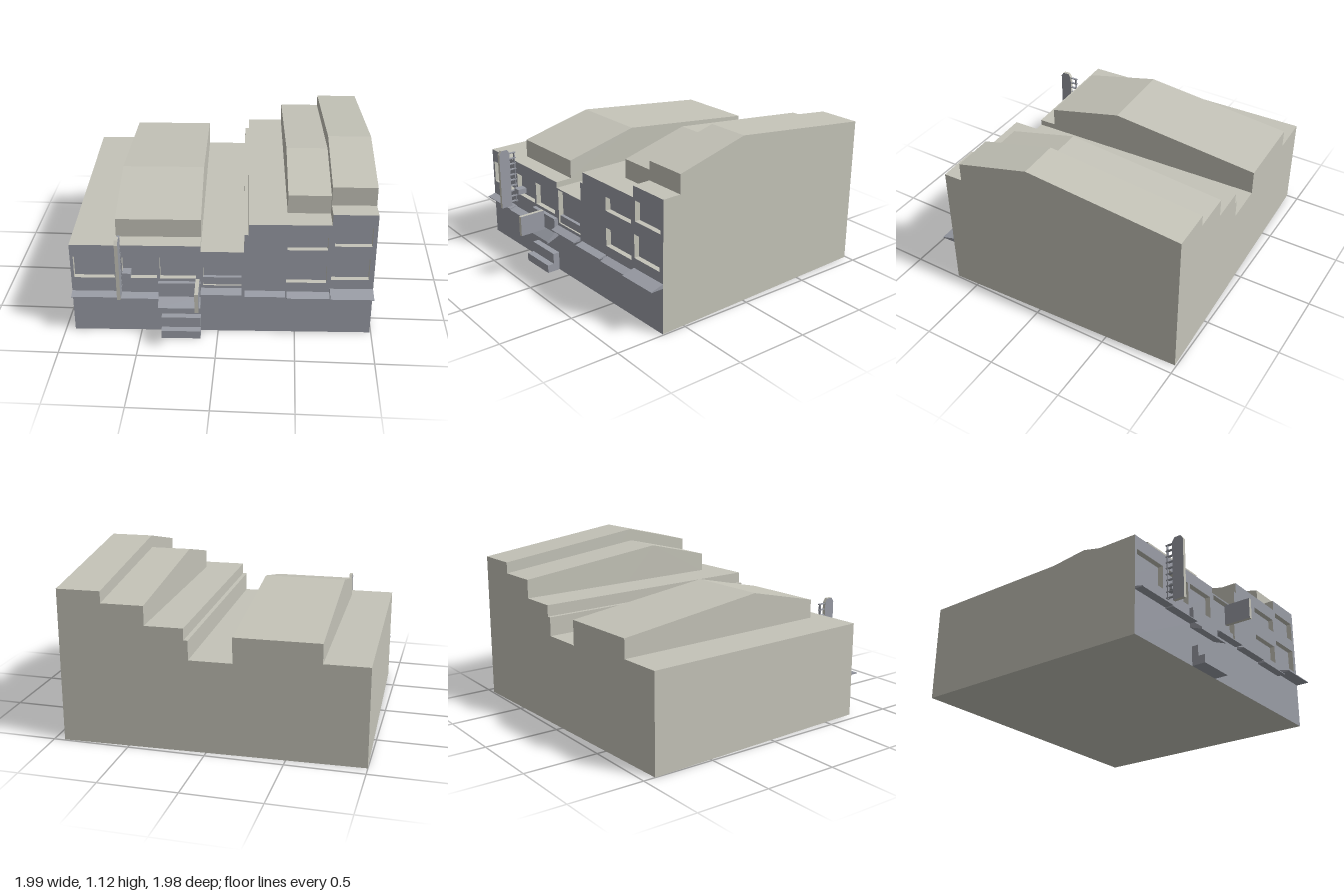
import * as THREE from 'three';

export function createModel() {
  const model = new THREE.Group();
  model.name = 'terraceBuilding';
  const block = new THREE.Group(); // the block stands slightly turned
  block.name = 'block';
  block.rotation.y = 0.0363;
  block.position.set(-0.004, 0, -0.1275);
  model.add(block);

  const stone = new THREE.MeshStandardMaterial({ color: 0xc4c3b8 });
  stone.name = 'warm stone';
  const paint = new THREE.MeshStandardMaterial({ color: 0x999ca5 });
  paint.name = 'blue grey paint';

  const HW = 0.966, HD = 0.828, RECESS = 0.04, BACK = HD - RECESS;
  const OFF = 0.026; // facade coordinates to block coordinates

  function add(name, geometry, material) {
    const mesh = new THREE.Mesh(geometry, material);
    mesh.name = name;
    block.add(mesh);
    return mesh;
  }
  function box(name, x0, x1, y0, y1, z0, z1, material) {
    const g = new THREE.BoxGeometry(x1 - x0, y1 - y0, z1 - z0);
    g.translate((x0 + x1) / 2, (y0 + y1) / 2, (z0 + z1) / 2);
    return add(name, g, material);
  }
  // Side profile of [z, y] points, run from x0 to x1
  function prism(name, x0, x1, points, material) {
    const shape = new THREE.Shape(points.map(([z, y]) => new THREE.Vector2(z, y)));
    const g = new THREE.ExtrudeGeometry(shape, { depth: x1 - x0, bevelEnabled: false });
    g.rotateY(-Math.PI / 2);
    g.translate(x1, 0, 0);
    return add(name, g, material);
  }

  // Body in slices; roof = [front z, ridge z, eaves height, ridge height]
  const slices = [
    [-HW, -0.681, 0.64],
    [-0.681, -0.136, 0.64, [0.713, 0.195, 0.765, 0.885]],
    [-0.136, 0.139, 0.6],
    [0.139, 0.166, 0.725],
    [0.166, 0.412, 0.8],
    [0.412, 0.684, 0.8, [0.672, 0.212, 0.925, 1.04]],
    [0.684, HW, 0.875, [0.702, 0.205, 1.0, 1.125]],
  ];
  for (const [x0, x1, h, roof] of slices) {
    const pts = [[-HD, 0], [BACK, 0], [BACK, h]];
    if (roof) {
      const [zf, zr, eaves, ridge] = roof;
      pts.push([zf, h], [zf, eaves], [zr, ridge], [-HD, eaves]);
    } else pts.push([-HD, h]);
    prism(roof ? 'mansardSlice' : 'flatSlice', x0, x1, pts, stone);
  }

  // Stepped facade with window openings
  const facade = new THREE.Shape([
    [-HW, 0], [HW, 0], [HW, 0.875], [0.684, 0.875], [0.684, 0.8], [0.166, 0.8], [0.166, 0.725],
    [0.139, 0.725], [0.139, 0.6], [-0.136, 0.6], [-0.136, 0.64], [-HW, 0.64],
  ].map(([x, y]) => new THREE.Vector2(x, y)));
  const windows = [
    [-0.92, -0.66, 0.4, 0.553], [-0.61, -0.39, 0.4, 0.553], [-0.37, -0.14, 0.4, 0.557],
    [-0.095, 0.15, 0.352, 0.59],
    [0.435, 0.69, 0.62, 0.713], [0.435, 0.69, 0.38, 0.505],
    [0.73, 0.965, 0.65, 0.785], [0.72, 0.96, 0.405, 0.563],
  ];
  for (const [a, b, y0, y1] of windows) {
    const x0 = a - OFF, x1 = b - OFF;
    facade.holes.push(new THREE.Path([[x0, y0], [x0, y1], [x1, y1], [x1, y0]]
      .map(([x, y]) => new THREE.Vector2(x, y))));
    box('windowPane', x0, x1, y0, y1, BACK - 0.002, BACK + 0.004, paint);
  }
  const wall = new THREE.ExtrudeGeometry(facade, { depth: RECESS, bevelEnabled: false });
  wall.translate(0, 0, BACK);
  add('facade', wall, [paint, stone]);
  box('shopfrontSill', -0.121, 0.124, 0.352, 0.405, BACK, HD - 0.012, paint);

  // Sloping ledges between the storeys: x0, x1, low edge, top, depth
  const ledges = [
    [-0.94, -0.64, 0.282, 0.3, 0.057], [-0.638, -0.38, 0.275, 0.294, 0.057],
    [-0.11, 0.152, 0.308, 0.332, 0.055], [0.17, 0.43, 0.298, 0.315, 0.055],
    [0.44, 0.713, 0.288, 0.312, 0.055], [0.715, 0.992, 0.308, 0.337, 0.09],
  ];
  for (const [a, b, y0, y1, d] of ledges) {
    prism('ledge', a - OFF, b - OFF,
      [[HD, y0], [HD + d, y0], [HD + d, y0 + 0.005], [HD, y1]], paint);
  }

  // Entrance: fascia panel, canopy and steps
  box('entranceFascia', -0.408, -0.138, 0.28, 0.38, HD, HD + 0.028, paint);
  prism('entranceCanopy', -0.408, -0.138,
    [[HD, 0.25], [HD + 0.088, 0.216], [HD + 0.088, 0.23], [HD + 0.028, 0.28], [HD, 0.28]], paint);
  prism('entranceSteps', -0.392, -0.138,
    [[HD, 0], [HD + 0.092, 0], [HD + 0.092, 0.055], [HD + 0.045, 0.055], [HD + 0.045, 0.128], [HD, 0.128]], paint);

  // Tall projecting sign on a ladder bracket
  prism('tallSign', -0.66, -0.638,
    [[0.88, 0.318], [0.96, 0.318], [0.96, 0.715], [0.942, 0.742], [0.898, 0.742], [0.88, 0.715]], [paint, stone]);
  box('bracketRail', -0.657, -0.641, 0.34, 0.71, HD + 0.008, HD + 0.014, paint);
  for (let i = 0; i < 10; i++) {
    const y = 0.345 + i * 0.04;
    box('bracketRung', -0.657, -0.641, y, y + 0.006, HD, 0.88, paint);
  }
  box('wallUnit', -0.635, -0.581, 0.413, 0.45, BACK, HD + 0.03, paint);

  // Small projecting sign board over the entrance
  prism('smallSign', -0.163, -0.139,
    [[0.932, 0.33], [1.11, 0.33], [1.11, 0.465], [0.932, 0.465]], [paint, stone]);

  return model;
}
